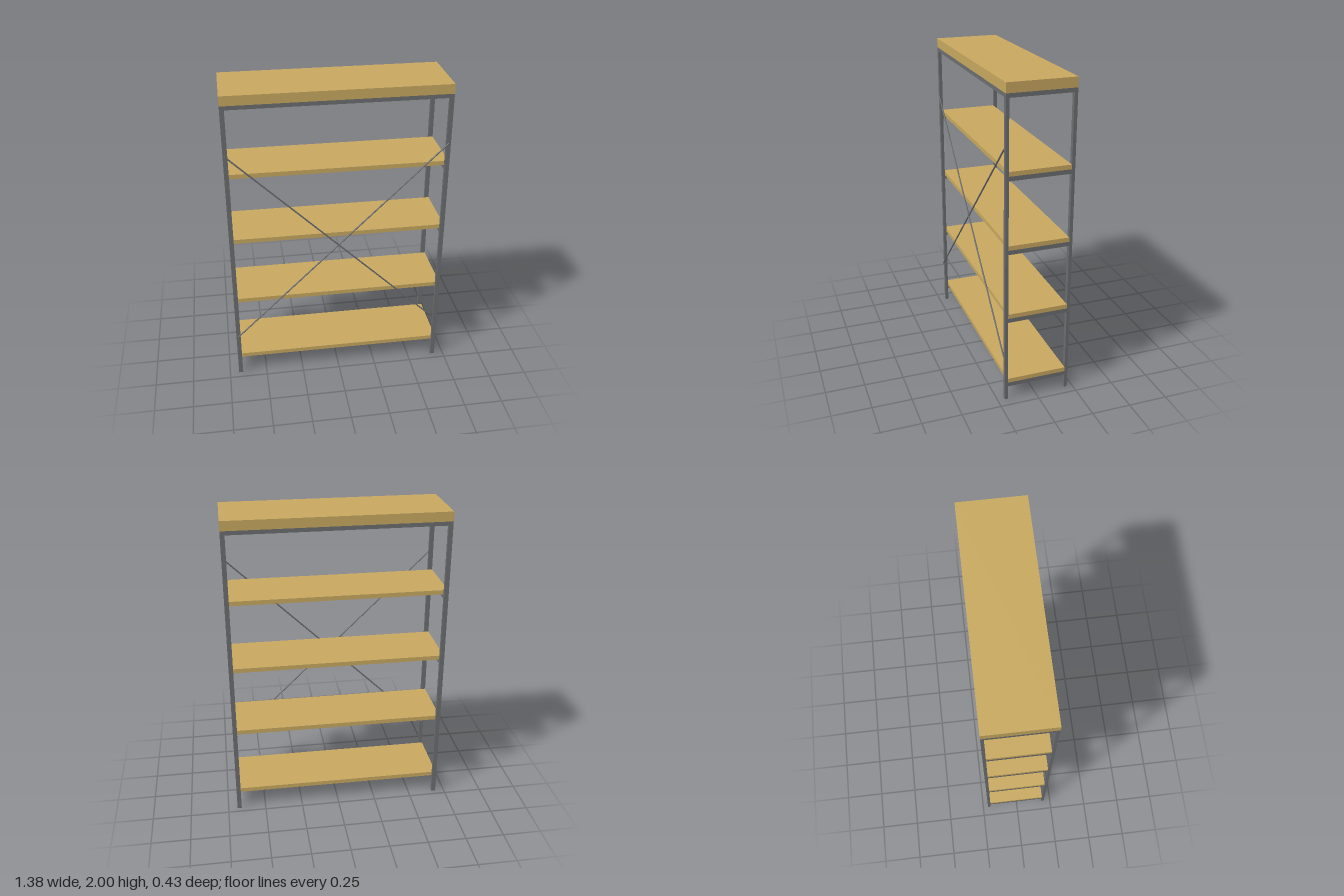
import * as THREE from 'three';

export function createModel() {
  const group = new THREE.Group();
  const wood = new THREE.MeshStandardMaterial({ color: 0xc8a860 });
  const metal = new THREE.MeshStandardMaterial({ color: 0x6c6d70 });

  const W = 0.69, front = 0.205, back = -0.215; // outer limits of the frame
  const legX = 0.028, legZ = 0.02;
  const midZ = (front + back) / 2, innerDepth = front - back - 2 * legZ;

  // Box given by its limits on each axis
  function box(name, material, [x0, x1], [y0, y1], [z0, z1]) {
    const mesh = new THREE.Mesh(new THREE.BoxGeometry(x1 - x0, y1 - y0, z1 - z0), material);
    mesh.position.set((x0 + x1) / 2, (y0 + y1) / 2, (z0 + z1) / 2);
    mesh.name = name;
    group.add(mesh);
  }
  const inner = [midZ - innerDepth / 2, midZ + innerDepth / 2];
  const sides = [['right', [-W, -W + legX]], ['left', [W - legX, W]]];
  const ends = [['Front', [front - legZ, front]], ['Back', [back, back + legZ]]];

  // Top board
  box('topBoard', wood, [-W, W], [1.94, 2], [back, front]);

  // Legs and the frame under the top board
  for (const [side, xs] of sides) {
    for (const [end, zs] of ends) box(`${side}${end}Leg`, metal, xs, [0, 1.94], zs);
    box(`${side}TopRail`, metal, xs, [1.915, 1.94], inner);
  }
  for (const [end, zs] of ends)
    box(`top${end}Rail`, metal, [-W + legX, W - legX], [1.915, 1.94], zs);

  // Shelves, each resting on a rail at both sides
  [0.118, 0.57, 1.018, 1.47].forEach((y, i) => {
    box(`shelf${i + 1}`, wood, [-W, W], [y, y + 0.028], inner);
    for (const [side, xs] of sides) box(`${side}ShelfRail${i + 1}`, metal, xs, [y - 0.027, y], inner);
  });

  // Crossed bracing rods
  const dx = 1.355, dy = 1.32;
  for (const s of [-1, 1]) {
    const rod = new THREE.Mesh(new THREE.CylinderGeometry(0.005, 0.005, Math.hypot(dx, dy), 8), metal);
    rod.position.set(0, 0.967, 0.21);
    rod.rotation.z = s * Math.atan2(dx, dy);
    rod.name = s < 0 ? 'risingBrace' : 'fallingBrace';
    group.add(rod);
  }
  return group;
}
